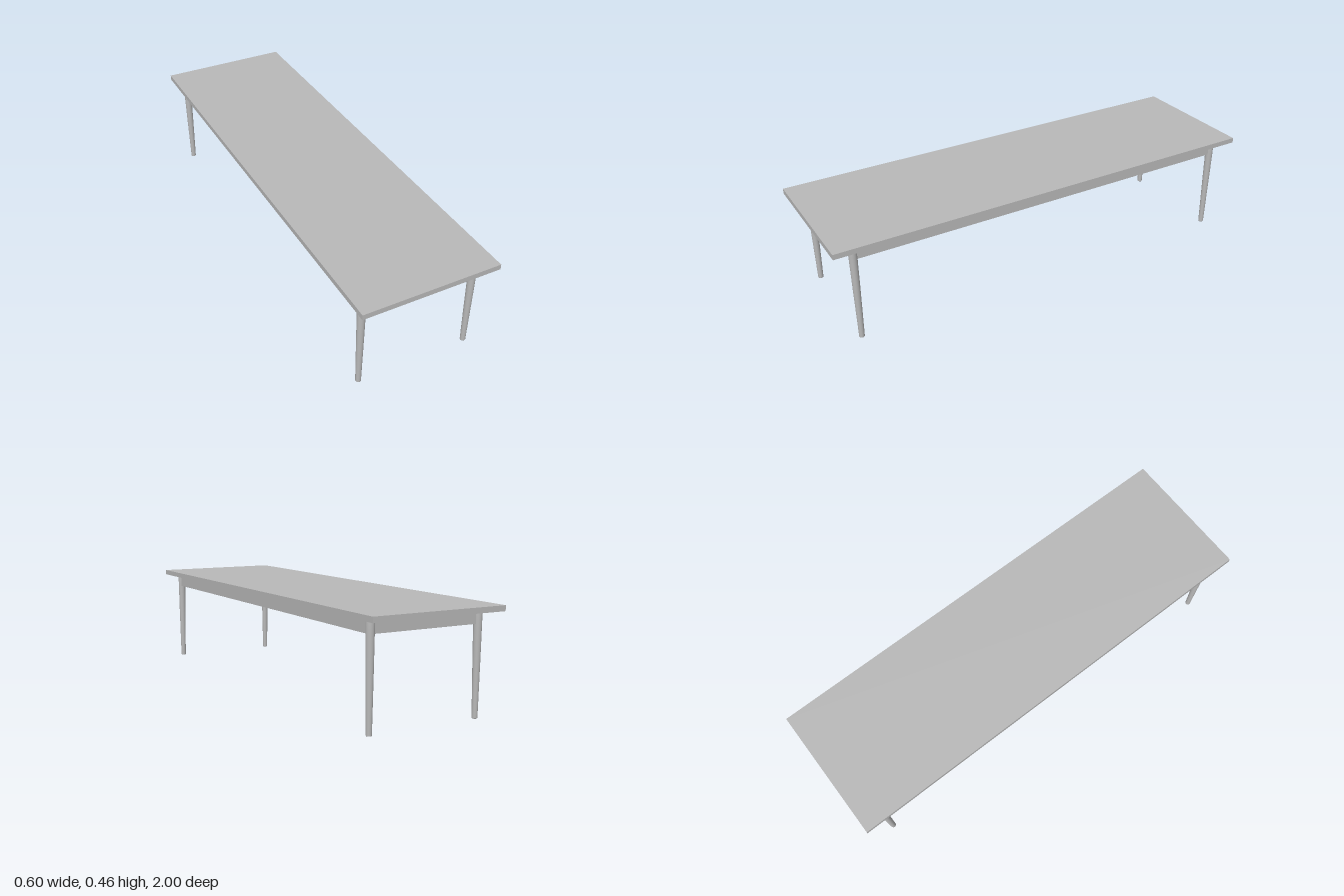
import * as THREE from 'three';

const TOP_Y = 0.455, UNDER_Y = 0.432, APRON_Y = 0.377;
const LEG_X = 0.249, LEG_Z = 0.905;

export function createModel() {
  const model = new THREE.Group();
  model.name = 'longTable';
  const grey = new THREE.MeshStandardMaterial({ color: 0xb8b8b8 });
  grey.name = 'grey';

  // Box spanning y0..y1
  const slab = (name, w, d, y0, y1, x, z) => {
    const mesh = new THREE.Mesh(new THREE.BoxGeometry(w, y1 - y0, d), grey);
    mesh.name = name;
    mesh.position.set(x, (y0 + y1) / 2, z);
    model.add(mesh);
  };

  slab('tableTop', 0.604, 2, UNDER_Y, TOP_Y, 0, 0);

  // Aprons run between the legs
  for (const s of [-1, 1]) {
    slab(s > 0 ? 'frontApron' : 'backApron', 0.464, 0.018, APRON_Y, UNDER_Y, 0, s * LEG_Z);
    slab(s > 0 ? 'leftApron' : 'rightApron', 0.018, 1.78, APRON_Y, UNDER_Y, s * LEG_X, 0);
  }

  // Round tapered leg with softened shoulder and foot
  const profile = [
    [0, 0], [0.0105, 0], [0.0115, 0.002], [0.0155, 0.25],
    [0.0172, 0.39], [0.0174, 0.424], [0.016, UNDER_Y], [0, UNDER_Y],
  ].map(([r, y]) => new THREE.Vector2(r, y));
  const legGeometry = new THREE.LatheGeometry(profile, 24);
  for (const sx of [-1, 1]) {
    for (const sz of [-1, 1]) {
      const leg = new THREE.Mesh(legGeometry, grey);
      leg.name = (sz > 0 ? 'front' : 'back') + (sx > 0 ? 'Left' : 'Right') + 'Leg';
      leg.position.set(sx * LEG_X, 0, sz * LEG_Z);
      model.add(leg);
    }
  }
  return model;
}
